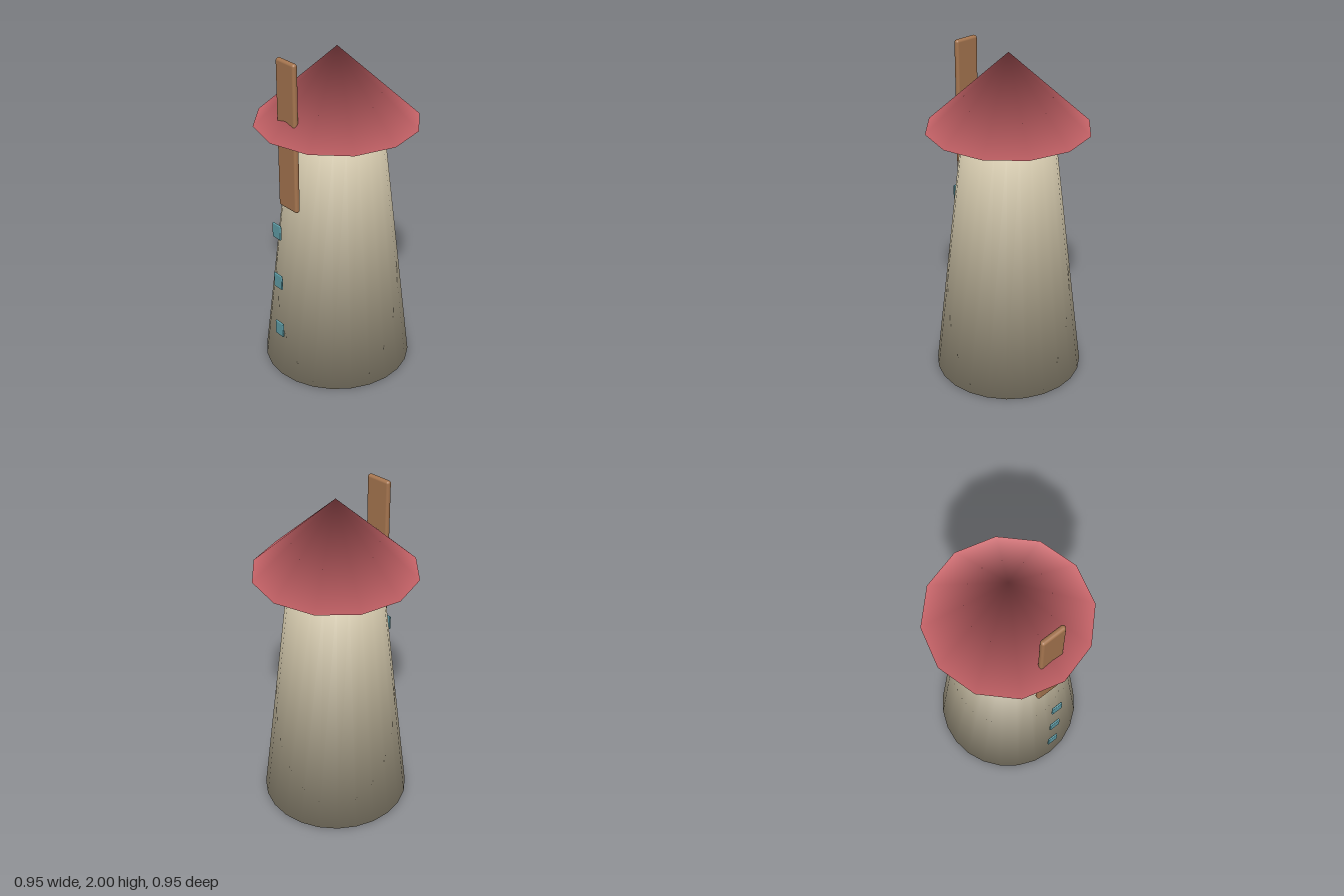
import * as THREE from 'three';
import { RoundedBoxGeometry } from 'three/addons/geometries/RoundedBoxGeometry.js';

const material = (name, color) => {
  const m = new THREE.MeshStandardMaterial({ color });
  m.name = name;
  return m;
};

// Smooth shading that runs on over the rims into the caps: axis points face
// straight up or down, rim points lean outward by the given share
function softenRims(geometry, outward) {
  const { position, normal } = geometry.attributes;
  for (let i = 0; i < position.count; i++) {
    const x = position.getX(i), z = position.getZ(i);
    const radius = Math.hypot(x, z);
    const side = Math.sign(position.getY(i));
    if (radius < 1e-5) {
      normal.setXYZ(i, 0, side, 0);
    } else {
      const vertical = side * Math.sqrt(1 - outward * outward);
      normal.setXYZ(i, x / radius * outward, vertical, z / radius * outward);
    }
  }
  return geometry;
}

export function createModel() {
  const model = new THREE.Group();
  model.name = 'tower';

  const stone = material('cream stone', 0xd3c8ac);
  const tile = material('rose roof', 0xcd666b);
  const wood = material('brown wood', 0xa5754f);
  const glass = material('teal glass', 0x5f9ca6);

  const add = (name, geometry, mat, x, y, z) => {
    const mesh = new THREE.Mesh(geometry, mat);
    mesh.name = name;
    mesh.position.set(x, y, z);
    model.add(mesh);
  };

  // Tapered round body, standing on the ground and reaching the eaves
  const eaves = 1.558;
  const body = softenRims(new THREE.CylinderGeometry(0.263, 0.444, eaves, 24), 0.49);
  add('towerBody', body, stone, 0, eaves / 2, 0);

  // Twelve-sided roof with wide eaves, one vertex facing forward
  const roofHeight = 2 - eaves;
  const roof = softenRims(new THREE.ConeGeometry(0.477, roofHeight, 12), 0.24);
  add('roof', roof, tile, 0, eaves + roofHeight / 2, 0);

  // Upright plank passing through the front of the roof
  add('plank', new RoundedBoxGeometry(0.156, 0.885, 0.033, 3, 0.015), wood, 0, 1.5575, 0.354);

  // Column of small window panes in front of the wall
  for (const y of [0.337, 0.67, 1.003]) {
    add('window', new RoundedBoxGeometry(0.071, 0.091, 0.012, 2, 0.005), glass, 0, y, 0.449);
  }

  return model;
}
